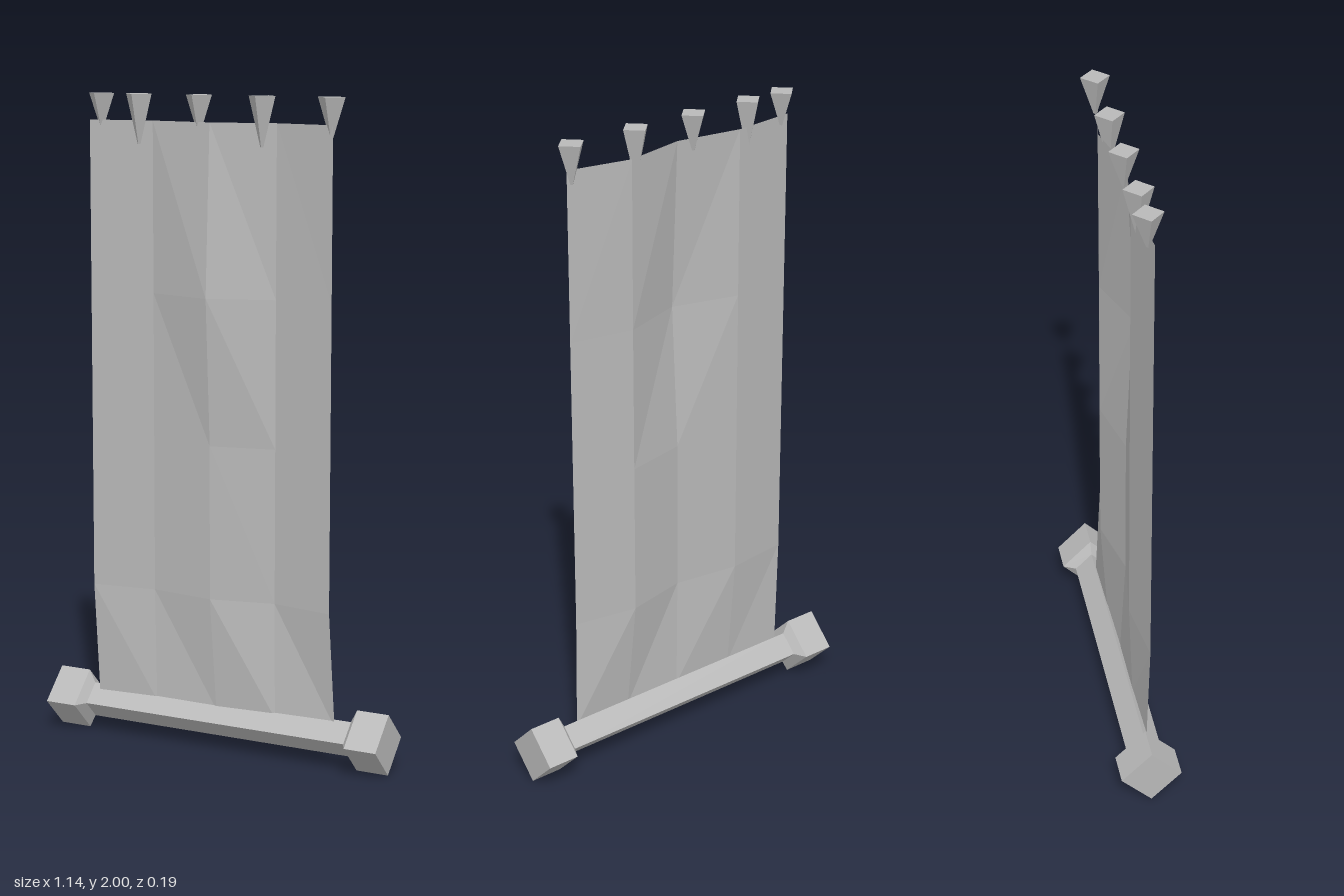
import * as THREE from 'three';

export function createModel() {
  const model = new THREE.Group();
  const grey = new THREE.MeshStandardMaterial({ color: 0xb8b8b8 });
  grey.name = 'grey';
  grey.flatShading = true;
  grey.side = THREE.DoubleSide;

  const add = (name, geometry) => {
    const mesh = new THREE.Mesh(geometry, grey);
    mesh.name = name;
    model.add(mesh);
    return mesh;
  };

  // Hanging cloth: zigzag folds, with a bulge in the middle and a tucked-in hem
  const xs = [-0.435, -0.23, -0.02, 0.18, 0.38];
  const ys = [1.92, 1.4, 0.95, 0.475, 0.125];
  const depths = [
    [0.02, -0.005, 0.025, -0.02, 0.018],
    [0.02, -0.005, 0.05, -0.018, 0.018],
    [0.02, -0.005, 0.025, -0.018, 0.018],
    [0.02, -0.005, 0.025, -0.018, 0.018],
    [0.014, 0.01, 0.011, 0.007, 0.005],
  ];
  const points = [];
  const faces = [];
  ys.forEach((y, r) => xs.forEach((x, c) => {
    points.push(x + (r === 4 ? 0.015 : 0), y, depths[r][c]);
    if (r < 4 && c < 4) {
      const a = r * 5 + c;
      faces.push(a, a + 5, a + 6, a, a + 6, a + 1);
    }
  }));
  const cloth = new THREE.BufferGeometry();
  cloth.setAttribute('position', new THREE.Float32BufferAttribute(points, 3));
  cloth.setIndex(faces);
  cloth.computeVertexNormals();
  add('cloth', cloth);

  // Square bottom rod set on edge, with thick end caps
  const profile = [
    [0, -0.57], [0.0935, -0.57], [0.0935, -0.467], [0.054, -0.447],
    [0.054, 0.447], [0.0935, 0.467], [0.0935, 0.57], [0, 0.57],
  ].map(([r, h]) => new THREE.Vector2(r, h));
  const rod = add('bottomRod', new THREE.LatheGeometry(profile, 4));
  rod.rotation.z = -Math.PI / 2;
  rod.position.y = 0.0935;

  // Four-sided spikes pinning the top edge: x and tip height
  const spikes = [[-0.4, 1.895], [-0.27, 1.85], [-0.065, 1.888], [0.145, 1.85], [0.37, 1.88]];
  spikes.forEach(([x, tip], i) => {
    const height = 2 - tip;
    const spike = add('spike' + (i + 1), new THREE.CylinderGeometry(0.044, 0.005, height, 4));
    spike.position.set(x, tip + height / 2, 0.008);
  });

  return model;
}
